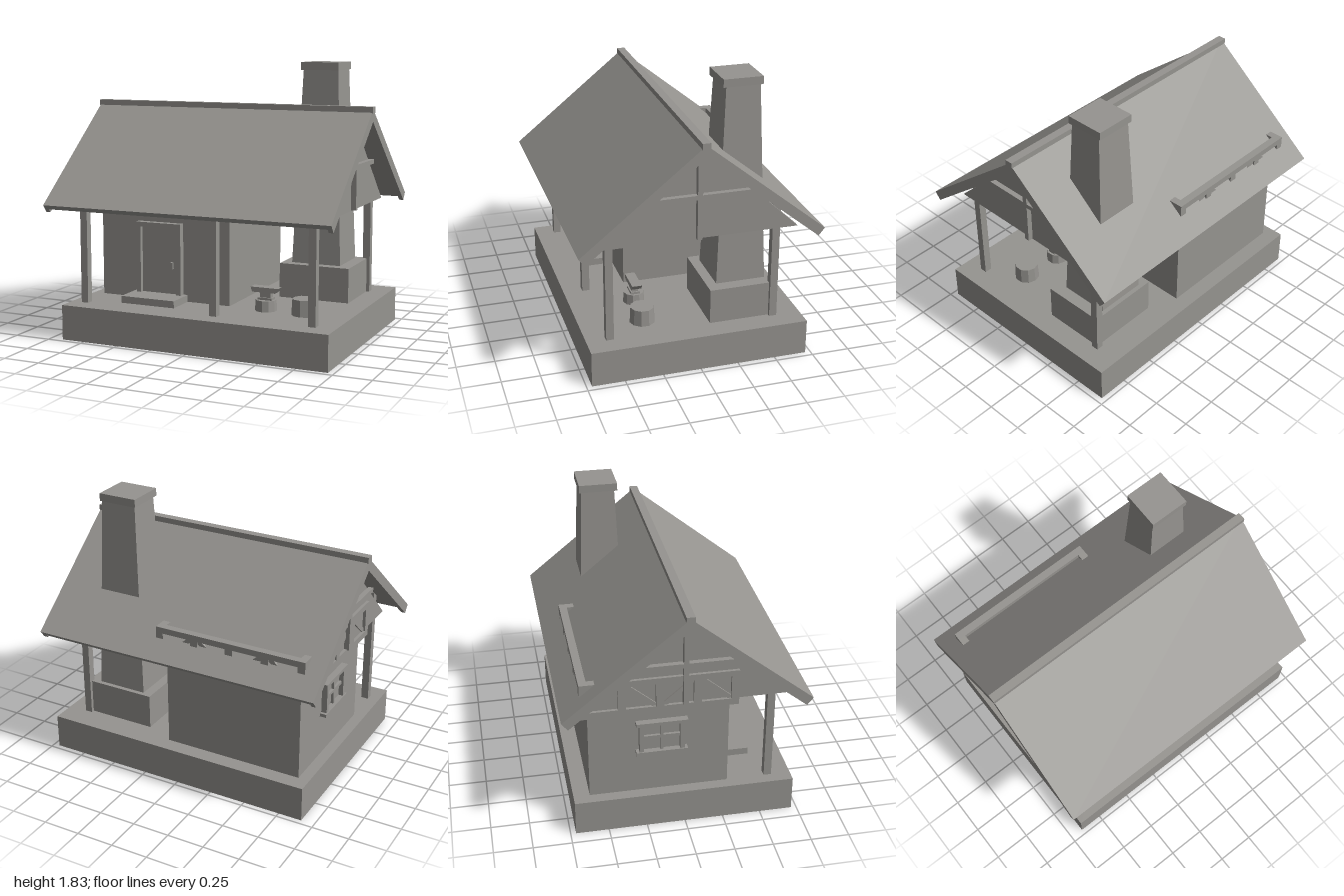
import * as THREE from 'three';

const stone = new THREE.MeshStandardMaterial({ color: 0x969490 });
stone.name = 'warmGrey';

export function createModel() {
  const root = new THREE.Group();
  root.name = 'cottage';

  const add = (name, geometry, parent = root) => {
    const mesh = new THREE.Mesh(geometry, stone);
    mesh.name = name;
    parent.add(mesh);
    return mesh;
  };
  const group = (name) => {
    const g = new THREE.Group();
    g.name = name;
    root.add(g);
    return g;
  };
  // Box given by its limits on each axis
  const box = (name, x0, x1, y0, y1, z0, z1, parent) => add(name,
    new THREE.BoxGeometry(x1 - x0, y1 - y0, z1 - z0)
      .translate((x0 + x1) / 2, (y0 + y1) / 2, (z0 + z1) / 2), parent);
  // Profile of [z, y] points swept along x
  const prism = (name, points, x0, x1, parent) => {
    const shape = new THREE.Shape(points.map(([z, y]) => new THREE.Vector2(-z, y)));
    const geo = new THREE.ExtrudeGeometry(shape, { depth: x1 - x0, bevelEnabled: false });
    return add(name, geo.rotateY(Math.PI / 2).translate(x0, 0, 0), parent);
  };
  // Square bar between two points
  const bar = (name, a, b, size, parent) => {
    const from = new THREE.Vector3(...a), to = new THREE.Vector3(...b);
    const mesh = add(name, new THREE.BoxGeometry(size, size, from.distanceTo(to)), parent);
    mesh.position.copy(from).lerp(to, 0.5);
    mesh.lookAt(to);
    return mesh;
  };

  // Plinth and cabin walls
  const F = 0.235;
  box('plinth', -0.91, 0.96, 0, F, -0.715, 0.715);
  box('cabinWalls', -0.835, 0.12, F, 0.86, -0.61, 0.29);

  // Timber frame on top of the walls
  const frame = group('timberFrame');
  const X0 = -0.88, X1 = 0.167, Z0 = -0.66, Z1 = 0.34, T = 0.05;
  for (const [y0, y1] of [[0.845, 0.89], [1.05, 1.09]]) {
    box('frameBeamBack', X0, X1, y0, y1, Z0, Z0 + T, frame);
    box('frameBeamFront', X0, X1, y0, y1, Z1 - T, Z1, frame);
    box('frameBeamLeft', X1 - T, X1, y0, y1, Z0 + T, Z1 - T, frame);
    box('frameBeamRight', X0, X0 + T, y0, y1, Z0 + T, Z1 - T, frame);
  }
  for (let i = 0; i <= 4; i++) {
    const x = X0 + (X1 - X0 - T) * i / 4, z = Z0 + (Z1 - Z0 - T) * i / 4;
    const nx = x + (X1 - X0 - T) / 4, nz = z + (Z1 - Z0 - T) / 4;
    for (const w of [Z0, Z1 - T]) {
      box('frameStud', x, x + T, 0.89, 1.05, w, w + T, frame);
      if (i < 4) bar('frameBrace', [x + T, i % 2 ? 1.05 : 0.89, w + T / 2],
        [nx, i % 2 ? 0.89 : 1.05, w + T / 2], 0.03, frame);
    }
    for (const w of [X0, X1 - T]) {
      if (i > 0 && i < 4) box('frameStud', w, w + T, 0.89, 1.05, z, z + T, frame);
      if (i < 4) bar('frameBrace', [w + T / 2, i % 2 ? 1.05 : 0.89, z + T],
        [w + T / 2, i % 2 ? 0.89 : 1.05, nz], 0.03, frame);
    }
  }

  // Porch posts
  for (const [x, z, top] of [[-0.81, 0.563, 1.06], [0.135, 0.563, 1.06],
    [0.807, 0.563, 1.06], [0.807, -0.528, 1.08]]) {
    box('porchPost', x - 0.025, x + 0.025, F, top, z - 0.025, z + 0.025);
  }

  // Roof slopes with verge rafters below their ends, and the ridge
  const roof = group('roof');
  for (const s of [1, -1]) {
    const slope = [[0, 1.545], [0.785, 0.91], [0.762, 0.882], [0, 1.499]];
    const verge = [[0, 1.499], [0.762, 0.882], [0.745, 0.86], [0, 1.463]];
    const side = (pts) => pts.map(([z, y]) => [z * s, y]);
    prism('roofSlope', side(slope), -0.995, 0.995, roof);
    for (const x of [-0.995, 0.965]) prism('vergeRafter', side(verge), x, x + 0.03, roof);
  }
  box('ridgeBeam', -1, 1, 1.52, 1.56, -0.027, 0.027, roof);

  // Gables with crossed timbers
  for (const s of [1, -1]) {
    const gable = group(s > 0 ? 'leftGable' : 'rightGable');
    const [g0, g1] = s > 0 ? [0.82, 0.86] : [-0.86, -0.82];
    const [t0, t1] = s > 0 ? [0.86, 0.895] : [-0.895, -0.86];
    prism('gableBoard', [[-0.66, 0.88], [0.66, 0.88], [0, 1.5]], g0, g1, gable);
    box('gableUpright', t0, t1, 0.885, 1.5, -0.016, 0.016, gable);
    box('gableCrossbar', t0, t1, 1.153, 1.183, -0.36, 0.36, gable);
  }

  // Hearth and tapering chimney
  box('hearth', 0.318, 0.81, F, 0.47, -0.53, -0.105);
  const stack = new THREE.BoxGeometry(1, 1, 1);
  const p = stack.attributes.position;
  for (let i = 0; i < p.count; i++) {
    const up = p.getY(i) > 0;
    p.setXYZ(i,
      (up ? 0.558 : 0.555) + p.getX(i) * (up ? 0.245 : 0.345),
      up ? 1.79 : 0.46,
      (up ? -0.336 : -0.335) + p.getZ(i) * (up ? 0.222 : 0.33));
  }
  stack.computeVertexNormals();
  add('chimneyStack', stack);
  box('chimneyCap', 0.422, 0.688, 1.78, 1.832, -0.463, -0.205);

  // Door, frame and step
  const door = group('door');
  box('doorLeaf', -0.525, -0.25, 0.28, 0.735, 0.285, 0.305, door);
  for (const x of [-0.553, -0.253]) box('doorJamb', x, x + 0.033, 0.27, 0.765, 0.285, 0.335, door);
  box('doorLintel', -0.52, -0.253, 0.732, 0.765, 0.285, 0.335, door);
  box('doorHandle', -0.303, -0.285, 0.455, 0.5, 0.3, 0.325, door);
  box('doorStep', -0.583, -0.19, F, 0.282, 0.285, 0.495, door);

  // Side window
  const win = group('window');
  const wz = -0.145;
  box('windowPane', -0.842, -0.832, 0.55, 0.75, wz - 0.13, wz + 0.13, win);
  for (const y of [0.53, 0.745]) {
    box(y < 0.6 ? 'windowSill' : 'windowLintel', -0.88, -0.832, y, y + 0.022, wz - 0.165, wz + 0.165, win);
  }
  for (const o of [-0.13, 0.13]) box('windowSide', -0.873, -0.832, 0.55, 0.75, wz + o - 0.014, wz + o + 0.014, win);
  box('windowMullion', -0.86, -0.832, 0.55, 0.75, wz - 0.01, wz + 0.01, win);
  box('windowTransom', -0.86, -0.832, 0.64, 0.66, wz - 0.13, wz + 0.13, win);

  // Chopping stump, and an anvil on a second stump
  const stump = (name, x, z, r, h) => add(name,
    new THREE.CylinderGeometry(r * 0.93, r, h, 10).toNonIndexed().translate(x, F + h / 2, z))
    .geometry.computeVertexNormals();
  stump('stump', 0.653, 0.305, 0.084, 0.107);
  stump('anvilStump', 0.38, 0.288, 0.073, 0.072);
  const anvil = group('anvil');
  box('anvilFoot', 0.33, 0.43, 0.305, 0.322, 0.258, 0.318, anvil);
  box('anvilWaist', 0.345, 0.42, 0.32, 0.358, 0.268, 0.308, anvil);
  const face = new THREE.Shape([[0.283, 0.39], [0.295, 0.357], [0.455, 0.357], [0.477, 0.39]]
    .map(([x, y]) => new THREE.Vector2(x, y)));
  add('anvilFace', new THREE.ExtrudeGeometry(face, { depth: 0.066, bevelEnabled: false })
    .translate(0, 0, 0.255), anvil);

  return root;
}
